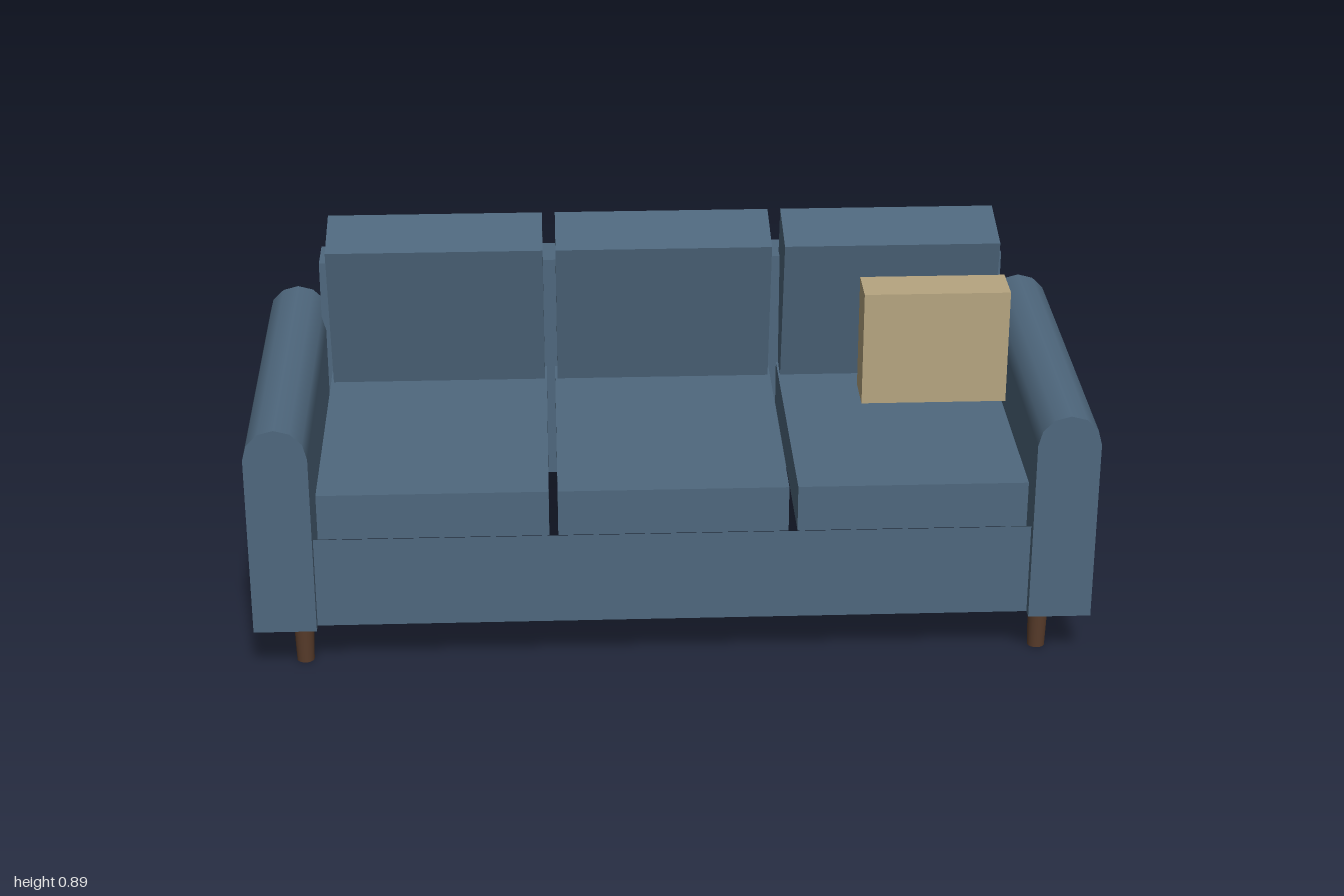
import * as THREE from 'three';

const fabric = new THREE.MeshStandardMaterial({ color: 0x4f687e, side: THREE.DoubleSide });
fabric.name = 'blue fabric';
const pillowFabric = new THREE.MeshStandardMaterial({ color: 0xb6a580 });
pillowFabric.name = 'tan fabric';
const wood = new THREE.MeshStandardMaterial({ color: 0x573b2a });
wood.name = 'dark wood';

function add(parent, name, geometry, material, x = 0, y = 0, z = 0) {
  const mesh = new THREE.Mesh(geometry, material);
  mesh.name = name;
  mesh.position.set(x, y, z);
  parent.add(mesh);
  return mesh;
}

// Box keeping only the listed sides (0 +x, 1 -x, 2 +y, 3 -y, 4 +z, 5 -z)
function openBox(w, h, d, sides) {
  const geometry = new THREE.BoxGeometry(w, h, d);
  const index = Array.from(geometry.index.array);
  geometry.setIndex(sides.flatMap((s) => index.slice(s * 6, s * 6 + 6)));
  geometry.clearGroups();
  return geometry;
}

export function createModel() {
  const sofa = new THREE.Group();
  sofa.name = 'sofa';

  const bottom = 0.125, seatBase = 0.355, seatTop = 0.47;
  const armRadius = 0.075, armAxis = 0.58, depth = 0.856;

  // Arms: hollow shell with a half-hexagon roll on top
  const armWall = openBox(0.15, armAxis - bottom, depth, [0, 1, 4, 5]);
  const armRoll = new THREE.CylinderGeometry(
    armRadius, armRadius, depth, 6, 1, false, Math.PI / 2, Math.PI).rotateX(Math.PI / 2);
  const legShape = new THREE.CylinderGeometry(0.025, 0.021, bottom, 20);
  for (const side of [-1, 1]) {
    const arm = new THREE.Group();
    arm.name = side > 0 ? 'leftArm' : 'rightArm';
    arm.position.x = side * 0.925;
    add(arm, 'armWall', armWall, fabric, 0, (armAxis + bottom) / 2);
    add(arm, 'armRoll', armRoll, fabric, 0, armAxis);
    sofa.add(arm);

    // Tapered legs
    for (const z of [-0.333, 0.337]) {
      add(sofa, z > 0 ? 'frontLeg' : 'backLeg', legShape, wood, side * 0.888, bottom / 2, z);
    }
  }

  // Front and back rails of the open base
  add(sofa, 'baseRails', openBox(1.7, seatBase - bottom, 0.8, [4, 5]), fabric,
    0, (seatBase + bottom) / 2, 0);

  // Backrest
  add(sofa, 'backrest', new THREE.BoxGeometry(1.72, 0.413, 0.113), fabric, 0, 0.5565, -0.3715);

  // Three seat cushions and three back cushions that lean forward
  const seatShape = new THREE.BoxGeometry(0.545, seatTop - seatBase, 0.715);
  const backShape = new THREE.BoxGeometry(0.533, 0.4, 0.17);
  for (const i of [-1, 0, 1]) {
    add(sofa, 'seatCushion', seatShape, fabric, i * 0.566, (seatTop + seatBase) / 2, 0.0405);
    const back = add(sofa, 'backCushion', backShape, fabric, i * 0.565, 0.675, -0.281);
    back.rotation.x = 0.21;
  }

  // Loose pillow
  add(sofa, 'pillow', new THREE.BoxGeometry(0.36, 0.293, 0.114), pillowFabric, 0.668, 0.6165, -0.114);

  return sofa;
}
